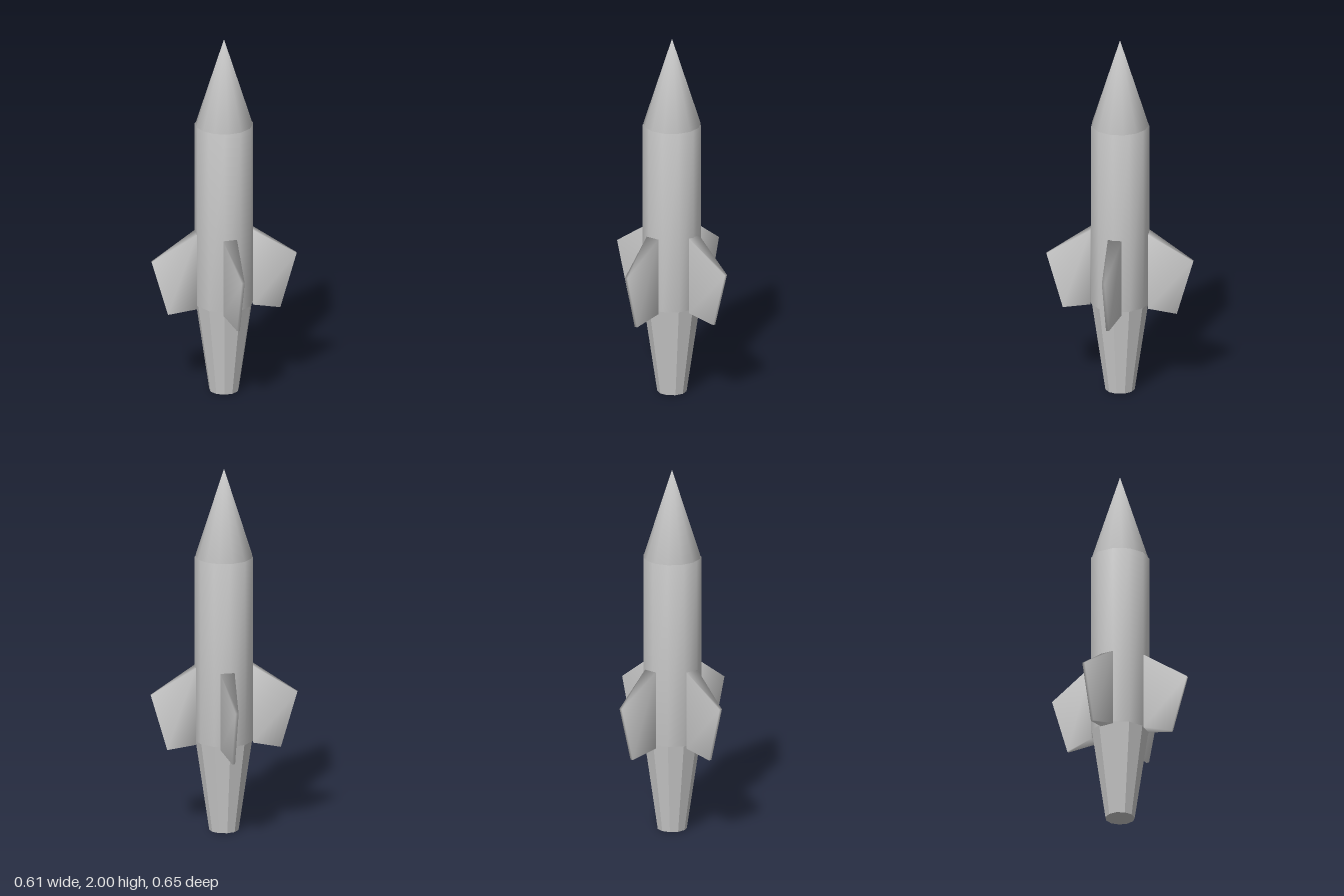
import * as THREE from 'three';
import { mergeVertices } from 'three/addons/utils/BufferGeometryUtils.js';

// Weld all corners so the shading rolls over the edges
function soften(geometry) {
  geometry.deleteAttribute('normal');
  geometry.deleteAttribute('uv');
  const welded = mergeVertices(geometry, 1e-4);
  welded.computeVertexNormals();
  return welded;
}

// Tapered fin: thick at the root (x = 0), thin at the swept outer edge
function finGeometry() {
  const geometry = new THREE.BoxGeometry(2, 2, 2);
  const p = geometry.attributes.position;
  for (let i = 0; i < p.count; i++) {
    const outer = p.getX(i) > 0;
    const top = p.getY(i) > 0;
    const side = Math.sign(p.getZ(i));
    const x = outer ? (top ? 0.238 : 0.15) : 0;
    const y = outer ? (top ? 0.755 : 0.45) : (top ? 0.91 : 0.485);
    p.setXYZ(i, x, y, side * (outer ? 0.008 : 0.038));
  }
  return soften(geometry);
}

export function createModel() {
  const group = new THREE.Group();
  const smooth = new THREE.MeshStandardMaterial({ color: 0xcccccc });
  const flat = new THREE.MeshStandardMaterial({ color: 0xcccccc, flatShading: true });

  const add = (name, geometry, material) => {
    const mesh = new THREE.Mesh(geometry, material);
    mesh.name = name;
    group.add(mesh);
    return mesh;
  };

  // Round section between two heights, with a corner at the back
  const section = (bottomR, topR, y0, y1, sides) =>
    new THREE.CylinderGeometry(topR, bottomR, y1 - y0, sides, 1, false, Math.PI)
      .translate(0, (y0 + y1) / 2, 0);

  add('noseCone', soften(section(0.153, 0, 1.515, 2, 13)), smooth);
  add('body', soften(section(0.157, 0.157, 0.5, 1.515, 11)), smooth);
  add('tailCone', section(0.079, 0.152, 0, 0.5, 11), flat);

  // Two pairs of opposite fins, each pair at its own slight yaw
  const fin = finGeometry();
  const roots = [
    { x: 0.122, z: 0.094, yaw: -42 },
    { x: 0.098, z: -0.123, yaw: 56.6 },
  ];
  roots.forEach(({ x, z, yaw }, i) => {
    for (const s of [1, -1]) {
      const mesh = add(`fin${i * 2 + (s > 0 ? 1 : 2)}`, fin, smooth);
      mesh.position.set(s * x, 0, s * z);
      mesh.rotation.y = THREE.MathUtils.degToRad(yaw + (s > 0 ? 0 : 180));
    }
  });

  return group;
}
